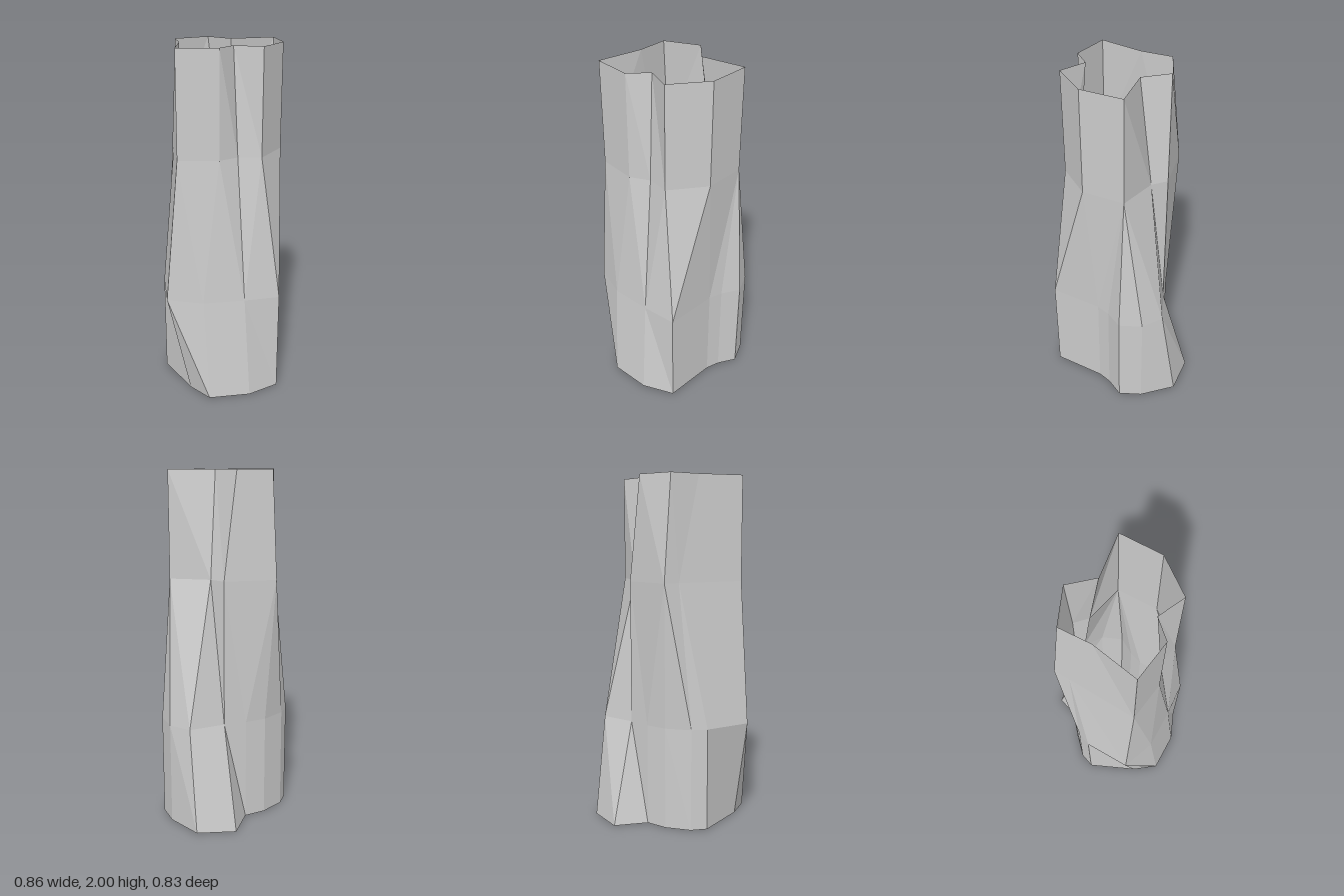
import * as THREE from 'three';

// Cross-sections as [x, z] pairs, running front -> left (+x) -> back -> right.
// Repeated corners let several folds merge into one.
const c = [0.37, -0.025];
const sections = [
  { y: 0, ring: [
    [-0.055, 0.415], [-0.055, 0.415], [0.14, 0.415], [0.275, 0.135],
    [0.33, 0.07], [0.425, 0], [0.425, -0.135], [0.35, -0.34],
    [0.35, -0.34], [0.14, -0.415], [0.01, -0.265], [-0.115, -0.26],
    [-0.255, -0.205], [-0.32, -0.135], [-0.315, 0.17], [-0.275, 0.325]] },
  { y: 0.59, ring: [
    [-0.055, 0.35], [-0.055, 0.35], [0.14, 0.415], [0.275, 0.135],
    [0.33, 0.07], [0.425, 0], [0.425, -0.135], [0.35, -0.25],
    [0.35, -0.25], [0.14, -0.25], [0.01, -0.265], [-0.115, -0.26],
    [-0.255, -0.2], [-0.32, -0.135], [-0.43, 0.115], [-0.275, 0.26]] },
  { y: 1.41, ring: [
    [-0.045, 0.25], [0.065, 0.32], [0.275, 0.2], c, c, c, c, c,
    [0.18, -0.16], [0.14, -0.25], [-0.15, -0.31], [-0.15, -0.31],
    [-0.185, -0.225], [-0.185, -0.225], [-0.36, 0.14], [-0.165, 0.255]] },
  { y: 2, ring: [
    [-0.045, 0.2], [0.065, 0.32], [0.275, 0.2], c, c, c, c, c,
    [0.12, -0.09], [0.065, -0.25], [-0.15, -0.25], [-0.15, -0.25],
    [-0.215, -0.08], [-0.215, -0.08], [-0.36, 0.14], [-0.165, 0.255]] },
];

// Joins neighbouring sections with faceted walls, skipping collapsed triangles
function loft(list) {
  const positions = [];
  const tri = (...corners) => {
    const [p, q, r] = corners.map((v) => new THREE.Vector3(...v));
    if (new THREE.Triangle(p, q, r).getArea() < 1e-6) return;
    positions.push(...p, ...q, ...r);
  };
  for (let s = 0; s < list.length - 1; s++) {
    const at = (k, i) => {
      const { y, ring } = list[k];
      const [x, z] = ring[i % ring.length];
      return [x, y, z];
    };
    for (let i = 0; i < list[s].ring.length; i++) {
      tri(at(s, i), at(s, i + 1), at(s + 1, i));
      tri(at(s, i + 1), at(s + 1, i + 1), at(s + 1, i));
    }
  }
  const geometry = new THREE.BufferGeometry();
  geometry.setAttribute('position', new THREE.Float32BufferAttribute(positions, 3));
  geometry.computeVertexNormals();
  return geometry;
}

export function createModel() {
  const group = new THREE.Group();
  group.name = 'hollowTrunk';

  // Thin folded wall, open at both ends
  const wall = new THREE.Mesh(loft(sections), new THREE.MeshStandardMaterial({
    color: 0xcccccc, flatShading: true, side: THREE.DoubleSide,
  }));
  wall.name = 'trunkWall';
  group.add(wall);
  return group;
}
